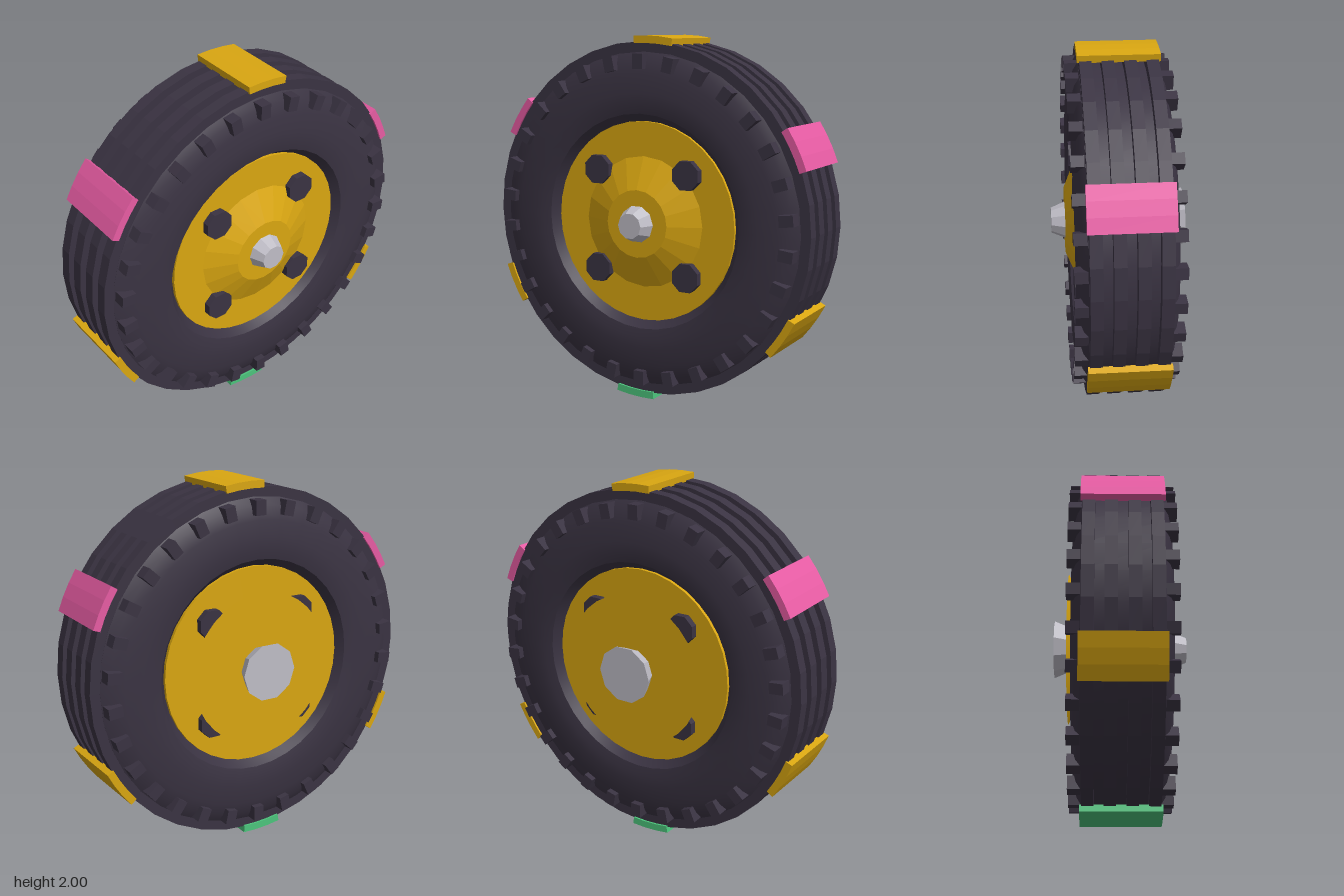
import * as THREE from 'three';
import { toCreasedNormals } from 'three/addons/utils/BufferGeometryUtils.js';

const mat = (name, color) => {
  const m = new THREE.MeshStandardMaterial({ color });
  m.name = name;
  return m;
};

export function createModel() {
  const rubber = mat('dark rubber', 0x3a3342);
  const gold = mat('golden yellow', 0xd9a611);
  const pink = mat('pink', 0xe85ca4);
  const green = mat('green', 0x4cc47c);
  const silver = mat('silver', 0xbfbdc6);

  const root = new THREE.Group();
  root.name = 'wheel';
  const wheel = new THREE.Group();
  wheel.name = 'wheelBody';
  wheel.position.y = 1;
  root.add(wheel);

  const add = (name, geo, material, parent = wheel) => {
    const mesh = new THREE.Mesh(geo, material);
    mesh.name = name;
    parent.add(mesh);
    return mesh;
  };

  // Revolve [radius, x] points around the x axle
  const turn = (points, sides, crease = 0.1) => {
    const geo = new THREE.LatheGeometry(points.map(p => new THREE.Vector2(...p)), sides);
    geo.rotateZ(-Math.PI / 2);
    return toCreasedNormals(geo, crease);
  };

  // Tyre carcass with rounded sidewalls
  const side = [[0.545, 0.19], [0.59, 0.25], [0.64, 0.26], [0.7, 0.26], [0.8, 0.25], [0.87, 0.232], [0.915, 0.205]];
  const profile = [
    ...side.map(([r, x]) => [r, -x]),
    ...side.slice().reverse(),
    [0.545, -0.19],
  ];
  add('tyre', turn(profile, 36, 0.45), rubber);

  // Four raised tread ribs
  for (const x of [-0.172, -0.058, 0.058, 0.172]) {
    const a = x - 0.032, b = x + 0.032;
    add('treadRib', turn([[0.9, a], [0.97, a], [0.97, b], [0.9, b], [0.9, a]], 36), rubber);
  }

  // Shoulder lugs on both sidewalls
  const lugGeo = new THREE.BoxGeometry(0.077, 0.08, 0.06);
  const lugs = new THREE.Group();
  lugs.name = 'shoulderLugs';
  wheel.add(lugs);
  for (const s of [-1, 1]) {
    for (let i = 0; i < 30; i++) {
      const a = (i / 30) * Math.PI * 2;
      const lug = add('lug', lugGeo, rubber, lugs);
      lug.position.set(s * 0.2385, 0.866 * Math.cos(a), 0.866 * Math.sin(a));
      lug.rotation.x = a;
    }
  }

  // Curved plates strapped across the tread
  const half = THREE.MathUtils.degToRad(6.8);
  const arc = [];
  for (let i = 0; i <= 3; i++) arc.push([1.0, half - (2 * half * i) / 3]);
  for (let i = 0; i <= 3; i++) arc.push([0.96, -half + (2 * half * i) / 3]);
  const plateShape = new THREE.Shape(arc.map(([r, a]) => new THREE.Vector2(r * Math.sin(a), r * Math.cos(a))));
  const plateGeo = new THREE.ExtrudeGeometry(plateShape, { depth: 0.43, bevelEnabled: false });
  plateGeo.translate(0, 0, -0.215);
  plateGeo.rotateY(Math.PI / 2);
  [gold, pink, gold, green, gold, pink].forEach((m, i) => {
    add('treadPlate', plateGeo, m).rotation.x = THREE.MathUtils.degToRad(-3.4 + 60 * i);
  });

  // Rim disc
  add('rim', turn([[0, -0.213], [0.548, -0.213], [0.548, 0.213], [0, 0.213]], 36), gold);

  // Hub cones: narrowing outward on the left, widening outward on the right
  add('leftHub', turn([[0.367, 0.21], [0.185, 0.288], [0, 0.288]], 20), gold);
  add('rightHub', turn([[0, -0.29], [0.42, -0.29], [0.22, -0.21]], 32), gold);

  // Axle ends
  add('leftAxleEnd', turn([[0.105, 0.28], [0.07, 0.364], [0, 0.364]], 10), silver);
  add('rightAxleEnd', turn([[0, -0.369], [0.16, -0.369], [0.123, -0.28]], 10), silver);

  // Octagonal bolts on both faces
  const boltGeo = new THREE.CylinderGeometry(0.083, 0.083, 0.055, 8, 1, false, Math.PI / 8);
  boltGeo.rotateZ(-Math.PI / 2);
  const boltFlat = toCreasedNormals(boltGeo, 0.1);
  for (const s of [-1, 1])
    for (const y of [-0.275, 0.275])
      for (const z of [-0.275, 0.275])
        add('bolt', boltFlat, rubber).position.set(s * 0.225, y, z);

  return root;
}
